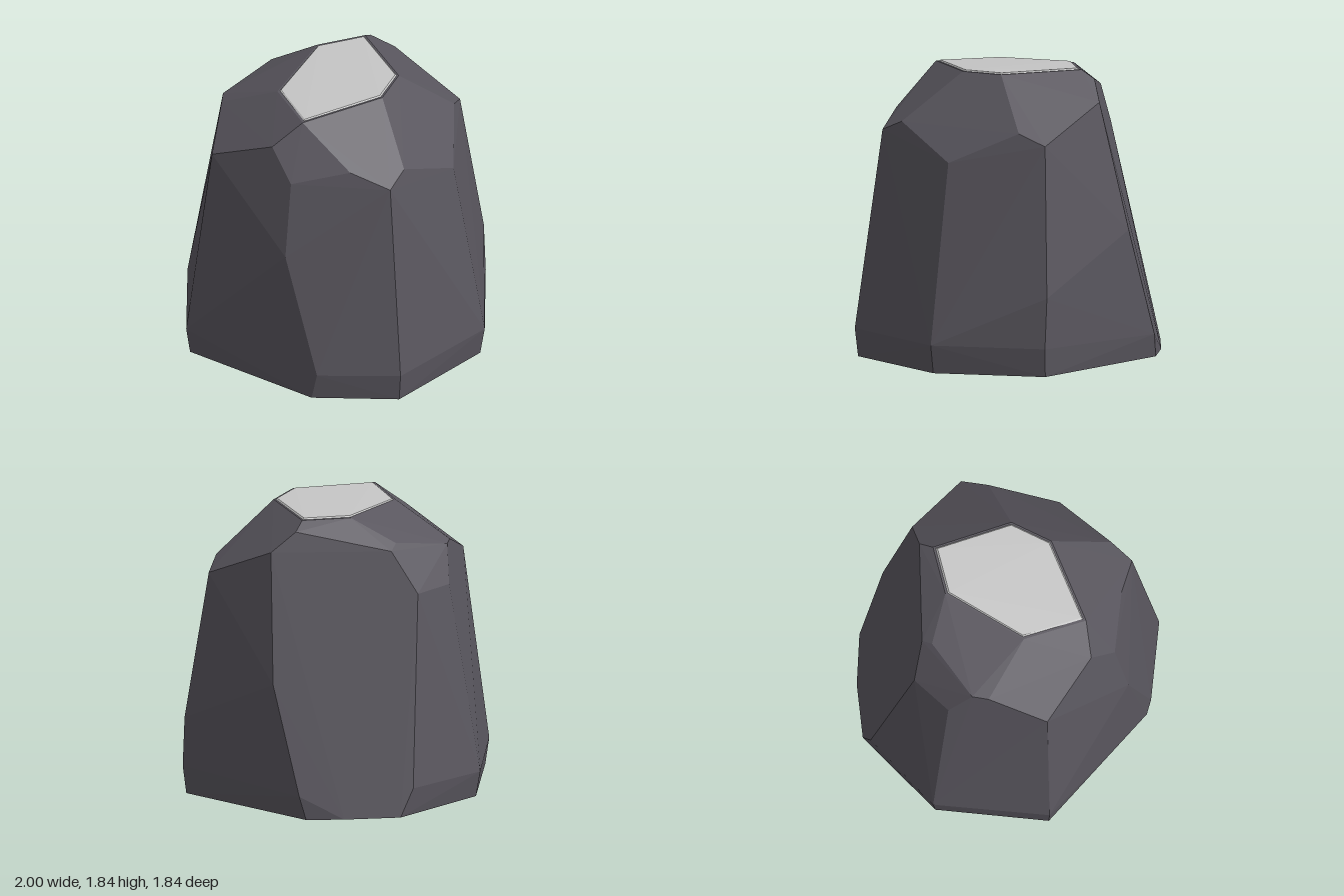
import * as THREE from 'three';
import { ConvexGeometry } from 'three/addons/geometries/ConvexGeometry.js';

const toVectors = (points) => points.map(([x, y, z]) => new THREE.Vector3(x, y, z));

export function createModel() {
  const group = new THREE.Group();
  const darkStone = new THREE.MeshStandardMaterial({ color: 0x5a575f });
  const paleStone = new THREE.MeshStandardMaterial({ color: 0xc6c6c6 });
  darkStone.name = 'darkStone';
  paleStone.name = 'paleStone';

  const addHull = (name, points, material) => {
    const mesh = new THREE.Mesh(new ConvexGeometry(points), material);
    mesh.name = name;
    group.add(mesh);
  };

  // Corners of the foot, slightly drawn in below the widest level
  const foot = toVectors([
    [0.97, 0, 0], [0.705, 0, 0.715], [0.19, 0.005, 0.905], [-0.72, 0.01, 0.67],
    [-0.97, 0.015, 0], [-0.74, 0.015, -0.62], [-0.44, 0.015, -0.81],
    [-0.22, 0.01, -0.905], [0.72, 0, -0.67],
  ]);
  // Widest level
  const skirt = toVectors([
    [1, 0.18, 0], [0.72, 0.18, 0.73], [0.23, 0.18, 0.915], [-0.74, 0.18, 0.685],
    [-1, 0.18, 0], [-0.79, 0.19, -0.54], [-0.18, 0.16, -0.92], [0.74, 0.18, -0.68],
  ]);
  // Kinks in the tall side facets
  const flanks = toVectors([
    [0, 0.97, 0.87], [-0.70, 0.48, 0.67], [0.03, 0.85, -0.86], [0.725, 0.5, -0.685],
  ]);
  // Shoulder where the sides turn inwards
  const shoulder = toVectors([
    [0.79, 1.31, 0], [0.63, 1.51, 0.44], [0.6, 1.44, 0.6], [0.35, 1.54, 0.65],
    [0, 1.45, 0.775], [-0.16, 1.64, 0.69], [-0.6, 1.44, 0.6], [-0.68, 1.6, 0.23],
    [-0.71, 1.6, 0.13], [-0.785, 1.38, 0], [-0.70, 1.38, -0.28], [-0.53, 1.645, -0.31],
    [-0.53, 1.68, -0.24], [0, 1.78, -0.59], [0.12, 1.66, -0.70], [0.6, 1.44, -0.595],
    [0.63, 1.51, -0.42],
  ]);
  // Tilted summit outline
  const summit = toVectors([
    [0.37, 1.82, -0.13], [0.37, 1.815, 0.15], [0, 1.787, 0.575],
    [-0.285, 1.79, 0.28], [-0.24, 1.822, -0.29], [0, 1.83, -0.495],
  ]);
  addHull('rock', [...foot, ...skirt, ...flanks, ...shoulder, ...summit], darkStone);

  // Thin bevelled slab on the summit
  const centre = new THREE.Vector3(0.035, 0, 0.02);
  const ring = (scale, lift) => summit.map((p) => new THREE.Vector3(
    centre.x + (p.x - centre.x) * scale, p.y + lift, centre.z + (p.z - centre.z) * scale));
  addHull('summitSlab', [...ring(0.97, -0.002), ...ring(0.94, 0.008)], paleStone);

  return group;
}
